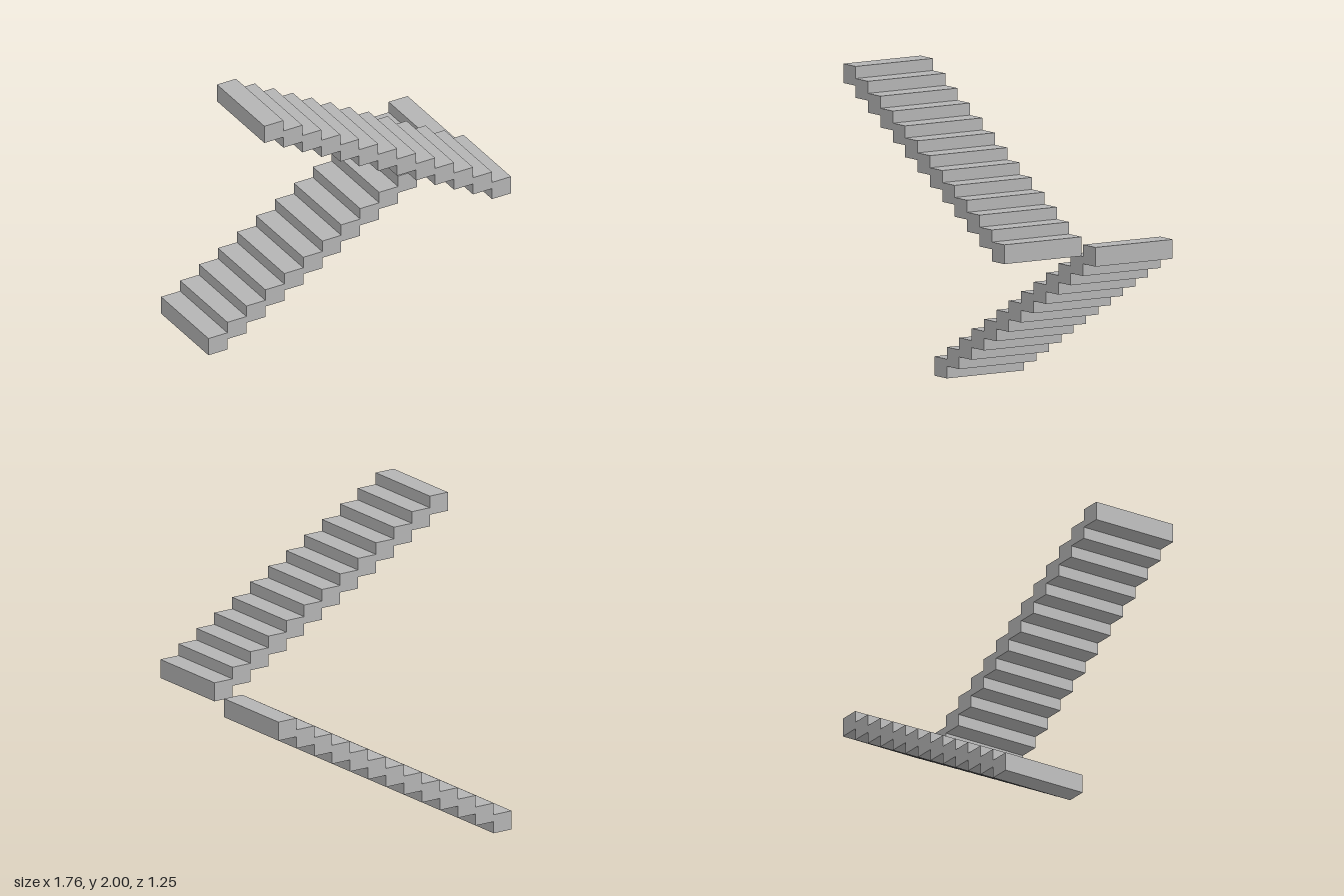
import * as THREE from 'three';

const STEPS = 13;       // steps per flight
const RUN = 0.1353;     // step depth along x
const RISE = 0.0752;    // height gained per step
const THICK = 0.12;     // step height
const WIDTH = 0.575;    // step width along z

export function createModel() {
  const model = new THREE.Group();
  model.name = 'staircase';

  const concrete = new THREE.MeshStandardMaterial({ color: 0xb4b4b4 });
  concrete.name = 'grey concrete';
  const stepGeometry = new THREE.BoxGeometry(RUN, THICK, WIDTH);

  // One straight flight climbing towards +x (dir 1) or -x (dir -1)
  function addFlight(name, dir, z, firstIndex) {
    const flight = new THREE.Group();
    flight.name = name;
    for (let i = 0; i < STEPS; i++) {
      const step = new THREE.Mesh(stepGeometry, concrete);
      step.name = 'step';
      step.position.set(
        dir * (i - (STEPS - 1) / 2) * RUN,
        THICK / 2 + (firstIndex + i) * RISE,
        z
      );
      flight.add(step);
    }
    model.add(flight);
  }

  // Lower flight at the back, upper flight doubling back at the front
  addFlight('lowerFlight', 1, -0.339, 0);
  addFlight('upperFlight', -1, 0.339, STEPS);

  return model;
}
